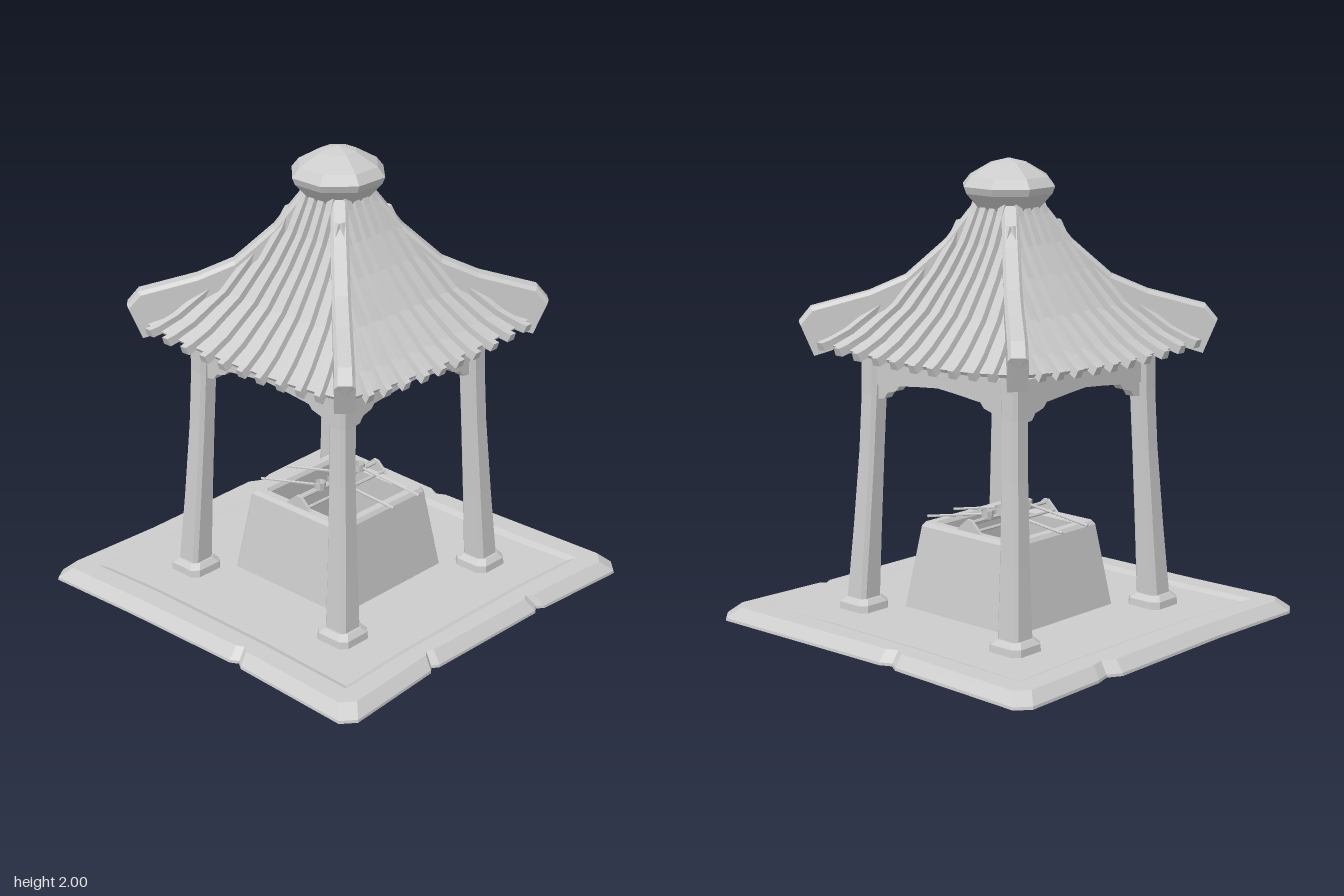
import * as THREE from 'three';

const material = new THREE.MeshStandardMaterial({ color: 0xcccccc, flatShading: true, side: THREE.DoubleSide });

function add(parent, name, geometry) {
  const mesh = new THREE.Mesh(geometry, material);
  mesh.name = name;
  parent.add(mesh);
  return mesh;
}

// Skin a row of equal-length rings; rings run counter-clockwise seen from the far end
function loft(rings, capStart = true, capEnd = true) {
  const pos = [];
  const tri = (a, b, c) => pos.push(...a, ...b, ...c);
  const n = rings[0].length;
  for (let r = 0; r < rings.length - 1; r++) {
    const a = rings[r], b = rings[r + 1];
    for (let i = 0; i < n; i++) {
      const j = (i + 1) % n;
      tri(a[i], a[j], b[j]);
      tri(a[i], b[j], b[i]);
    }
  }
  const cap = (ring, flip) => {
    const c = [0, 1, 2].map(k => ring.reduce((s, p) => s + p[k], 0) / n);
    ring.forEach((p, i) => {
      const q = ring[(i + 1) % n];
      flip ? tri(c, q, p) : tri(c, p, q);
    });
  };
  if (capStart) cap(rings[0], true);
  if (capEnd) cap(rings[rings.length - 1], false);
  const g = new THREE.BufferGeometry();
  g.setAttribute('position', new THREE.Float32BufferAttribute(pos, 3));
  g.computeVertexNormals();
  return g;
}

// Horizontal square ring with cut corners
function squareRing(cx, cz, y, h, c) {
  const k = h - c;
  return [[h, k], [h, -k], [k, -h], [-k, -h], [-h, -k], [-h, k], [-k, h], [k, h]]
    .map(([x, z]) => [cx + x, y, cz + z]);
}

function bar(parent, name, a, b, radius) {
  const p = new THREE.Vector3(...a), q = new THREE.Vector3(...b);
  const mesh = add(parent, name, new THREE.CylinderGeometry(radius, radius, p.distanceTo(q), 6));
  mesh.position.copy(p).lerp(q, 0.5);
  mesh.quaternion.setFromUnitVectors(new THREE.Vector3(0, 1, 0), q.sub(p).normalize());
  return mesh;
}

// Worn stone slab with chipped edges and a shallow recess, open below
function buildSlab(root) {
  const outline = [
    [-0.84, -0.9], [-0.36, -0.885], [0.3, -0.9], [0.36, -0.865], [0.43, -0.885], [0.84, -0.9],
    [0.9, -0.85], [0.875, -0.18], [0.845, -0.13], [0.87, -0.08], [0.885, 0.4], [0.9, 0.84],
    [0.84, 0.9], [0.38, 0.87], [0.355, 0.845], [0.32, 0.868], [-0.3, 0.86], [-0.33, 0.84], [-0.36, 0.865],
    [-0.84, 0.9], [-0.9, 0.85], [-0.875, 0.27], [-0.85, 0.235], [-0.87, 0.2], [-0.88, -0.4], [-0.9, -0.86],
  ].reverse();
  const scaled = (s, y) => outline.map(([x, z]) => [x * s, y, z * s]);
  const recess = (corner, side, y) => outline.map(([x, z]) => {
    if (Math.min(Math.abs(x), Math.abs(z)) > 0.8) return [Math.sign(x) * corner, y, Math.sign(z) * corner];
    return Math.abs(x) > Math.abs(z) ? [Math.sign(x) * side, y, z] : [x, y, Math.sign(z) * side];
  });
  add(root, 'stoneSlab', loft([
    scaled(1, 0), scaled(0.998, 0.012), scaled(0.945, 0.057),
    recess(0.755, 0.738, 0.057), recess(0.725, 0.705, 0.044),
  ], false, true));
}

// Hollow tapered basin
function buildBasin(root) {
  const levels = [[0.03, 0.325], [0.405, 0.272], [0.422, 0.26], [0.422, 0.225], [0.405, 0.215], [0.1, 0.235]];
  add(root, 'basin', loft(levels.map(([y, h]) => squareRing(0, 0, y, h, 0.012)), false, true));

  // Rack with triangular ends, resting on the rim
  const rack = new THREE.Group();
  rack.name = 'ladleRack';
  root.add(rack);
  for (const z of [-0.05, 0.05]) bar(rack, 'rackRail', [-0.25, 0.434, z], [0.25, 0.434, z], 0.007);
  bar(rack, 'rackRidge', [-0.25, 0.46, 0], [0.25, 0.46, 0], 0.008);
  const gable = new THREE.Shape([[-0.07, 0.422], [0.07, 0.422], [0.012, 0.475], [-0.012, 0.475]]
    .map(p => new THREE.Vector2(...p)));
  for (const x of [-0.245, 0.245]) {
    const end = add(rack, 'rackEnd', new THREE.ExtrudeGeometry(gable, { depth: 0.014, bevelEnabled: false }));
    end.rotation.y = Math.PI / 2;
    end.position.x = x - 0.007;
  }
  // Ladles with handles to alternating sides
  [-0.115, -0.03, 0.05, 0.135].forEach((x, i) => {
    const side = i % 2 ? 1 : -1;
    const cup = add(rack, 'ladleCup', new THREE.CylinderGeometry(0.027, 0.024, 0.036, 8, 1, true));
    cup.position.set(x, 0.478, 0);
    const base = add(rack, 'ladleCupBase', new THREE.CylinderGeometry(0.024, 0.024, 0.006, 8));
    base.position.set(x, 0.463, 0);
    bar(rack, 'ladleHandle', [x, 0.48, 0], [x + side * 0.05, 0.424, side * 0.31], 0.006);
  });
}

// Leaning posts, footings and arched tie beams
function buildFrame(root) {
  const stations = [[0.07, 0.448, 0.058], [0.4, 0.432, 0.051], [0.75, 0.416, 0.046], [1.0, 0.407, 0.046], [1.215, 0.405, 0.048]];
  const foot = [[0.04, 0.089], [0.075, 0.086], [0.097, 0.066]];
  for (const sx of [-1, 1]) for (const sz of [-1, 1]) {
    add(root, 'post', loft(stations.map(([y, c, h]) => squareRing(sx * c, sz * c, y, h, 0.016))));
    add(root, 'postFooting', loft(foot.map(([y, h]) => squareRing(sx * 0.447, sz * 0.447, y, h, 0.028))));
  }
  const shape = pts => new THREE.Shape(pts.map(p => new THREE.Vector2(...p)));
  const beam = shape([[-0.4, 1.04], [-0.23, 1.052], [-0.1, 1.066], [0, 1.075], [0.1, 1.066], [0.23, 1.052], [0.4, 1.04], [0.4, 1.16], [-0.4, 1.16]]);
  const outline = [[0.38, 0.978], [0.325, 0.985], [0.305, 1.012], [0.255, 1.026], [0.225, 1.06], [0.38, 1.07]];
  const extrude = (s, depth) => new THREE.ExtrudeGeometry(s, { depth, bevelEnabled: false }).translate(0, 0, -depth / 2);
  for (let i = 0; i < 4; i++) {
    const side = new THREE.Group();
    side.name = 'tieBeamSide';
    side.rotation.y = i * Math.PI / 2;
    root.add(side);
    add(side, 'tieBeam', extrude(beam, 0.06)).position.z = 0.405;
    for (const s of [-1, 1]) {
      const bracket = shape(outline.map(([x, y]) => [s * x, y]));
      add(side, 'beamBracket', extrude(bracket, 0.045)).position.z = 0.405;
    }
  }
}

// Sagging roof profile: half-width and height
const profile = [[0.65, 1.178], [0.6, 1.2], [0.52, 1.25], [0.38, 1.37], [0.26, 1.52], [0.18, 1.64], [0.12, 1.76], [0.08, 1.86]];

function roofY(h, x) {
  let i = 0;
  while (i < profile.length - 2 && h < profile[i + 1][0]) i++;
  const [h0, y0] = profile[i], [h1, y1] = profile[i + 1];
  const lift = 0.035 * Math.min(1, Math.abs(x) / h) ** 2 * (h / 0.6) ** 3;
  return y0 + (y1 - y0) * (h - h0) / (h1 - h0) + lift;
}

function roofRing(h, drop = 0) {
  const ring = [], n = 8;
  for (let s = 0; s < 4; s++) for (let i = 0; i < n; i++) {
    const x = h * (2 * i / n - 1), a = s * Math.PI / 2;
    ring.push([x * Math.cos(a) + h * Math.sin(a), roofY(h, x) - drop, h * Math.cos(a) - x * Math.sin(a)]);
  }
  return ring;
}

function buildRoof(root) {
  add(root, 'roofShell', loft([roofRing(0.59, 0.02), ...profile.slice(1).map(p => roofRing(p[0]))]));

  // Tile ribs, fanning out toward the eaves
  const ribs = [0.055, 0.16, 0.275, 0.385, 0.49].flatMap(x => [-x, x]).map(x0 => {
    const a = Math.abs(x0);
    const end = Math.max(0.1, 0.36 * a / (1 - 1.01 * a));
    const hs = [0.635, ...profile.map(p => p[0]).filter(h => h < 0.63 && h > end + 0.01), end];
    return loft(hs.map(h => {
      const x = x0 * (0.36 + 1.01 * h), e = 0.015;
      const slope = (roofY(h + e, x) - roofY(h - e, x)) / (2 * e);
      const len = Math.hypot(1, slope);
      const at = (dx, d) => [x + dx, roofY(h, x) + d / len, h - d * slope / len];
      return [at(0.021, -0.012), at(-0.021, -0.012), at(-0.016, 0.026), at(0.016, 0.026)];
    }));
  });

  // Hip ridge stations: top half-width, top height, lower half-width, lower height
  const hip = loft([
    [0.63, 1.312, 0.585, 1.165], [0.595, 1.372, 0.53, 1.19], [0.42, 1.438, 0.38, 1.33], [0.31, 1.505, 0.27, 1.43],
    [0.19, 1.655, 0.165, 1.59], [0.13, 1.765, 0.1, 1.69], [0.07, 1.87, 0.06, 1.77],
  ].map(([ht, yt, hb, yb], i) => {
    const w = 0.042 - i * 0.001, zt = ht * Math.SQRT2, zb = hb * Math.SQRT2;
    const zm = zt - (zt - zb) * 0.12, ym = yt - 0.014;
    return [[w, yb, zb], [-w, yb, zb], [-w, ym, zm], [-w + 0.013, yt, zt], [w - 0.013, yt, zt], [w, ym, zm]];
  }));

  for (let i = 0; i < 4; i++) {
    const side = new THREE.Group();
    side.name = 'roofSide';
    side.rotation.y = i * Math.PI / 2;
    root.add(side);
    ribs.forEach(g => add(side, 'tileRib', g));
    add(side, 'hipRidge', hip).rotation.y = Math.PI / 4;
  }

  // Faceted cap on the peak
  const cap = [[0, 1.74], [0.1, 1.75], [0.195, 1.855], [0.207, 1.885], [0.175, 1.925], [0.08, 1.98], [0, 2]];
  add(root, 'roofCap', new THREE.LatheGeometry(cap.map(p => new THREE.Vector2(...p)), 8)).rotation.y = Math.PI / 8;
}

export function createModel() {
  const root = new THREE.Group();
  root.name = 'waterPavilion';
  buildSlab(root);
  buildBasin(root);
  buildFrame(root);
  buildRoof(root);
  return root;
}
